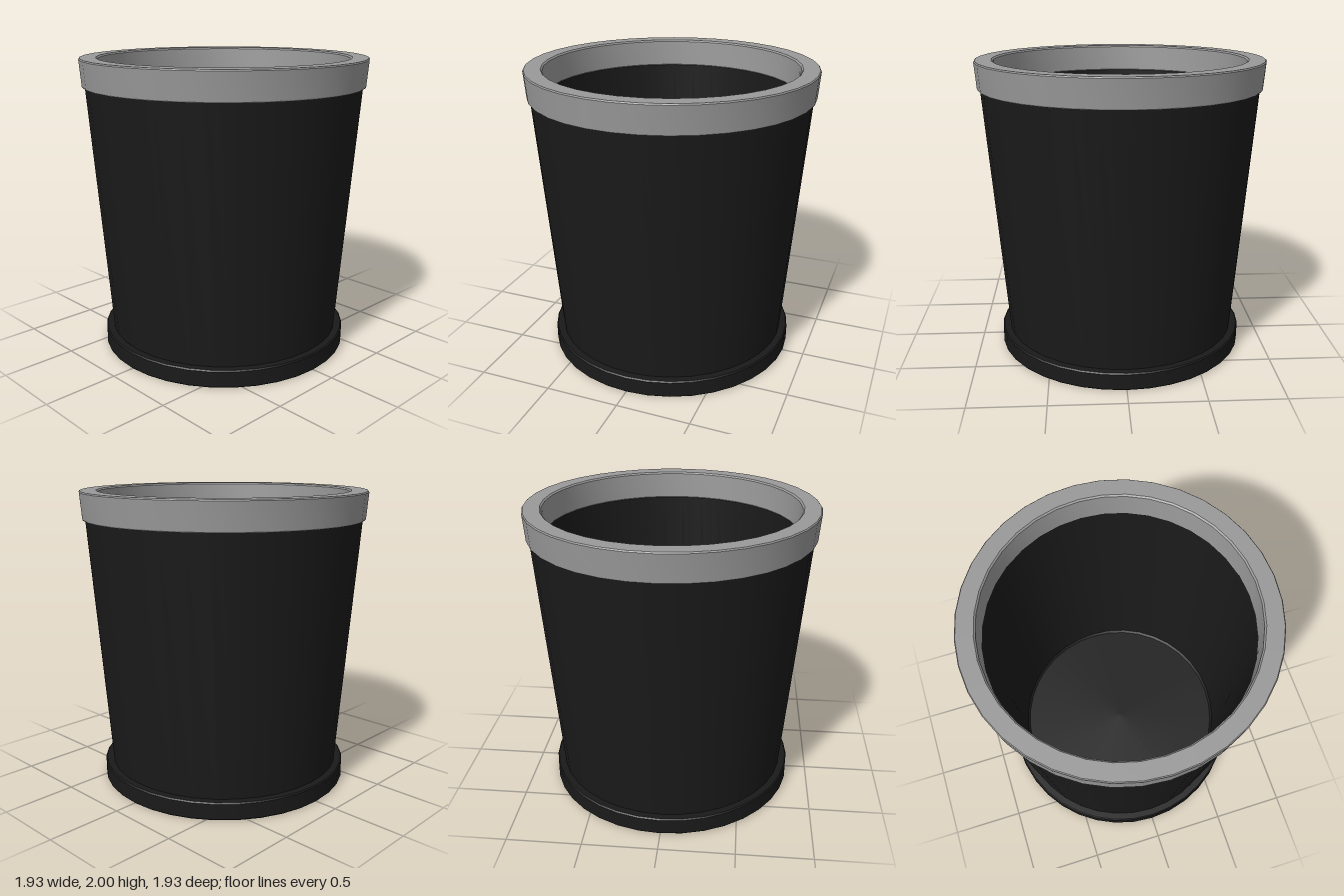
import * as THREE from 'three';
import { toCreasedNormals } from 'three/addons/utils/BufferGeometryUtils.js';

const SIDES = 36;

// Turns an [radius, height] profile around the y axis, keeping sharp edges crisp
function turned(name, profile, color) {
  const points = profile.map(([r, y]) => new THREE.Vector2(r, y));
  const geometry = toCreasedNormals(new THREE.LatheGeometry(points, SIDES), 0.5);
  const mesh = new THREE.Mesh(geometry, new THREE.MeshStandardMaterial({ color }));
  mesh.name = name;
  return mesh;
}

export function createModel() {
  const group = new THREE.Group();
  group.name = 'wasteBin';
  const black = 0x1a1a1a;
  const grey = 0x999999;

  // Base disc with small bevels
  group.add(turned('base', [
    [0, 0], [0.845, 0], [0.853, 0.008], [0.853, 0.112], [0.845, 0.12], [0, 0.12],
  ], black));

  // Hollow tapered body: outer wall, hidden top edge, inner wall, floor
  group.add(turned('body', [
    [0, 0.1], [0.797, 0.1], [0.931, 1.83], [0.834, 1.83], [0.745, 0.15], [0.73, 0.135], [0, 0.135],
  ], black));

  // Flared rim band, closed back onto its first point
  group.add(turned('rim', [
    [0.835, 1.812], [0.943, 1.812], [0.949, 1.82], [0.963, 1.992], [0.957, 2],
    [0.85, 2], [0.84, 1.99], [0.83, 1.82], [0.835, 1.812],
  ], grey));

  return group;
}
